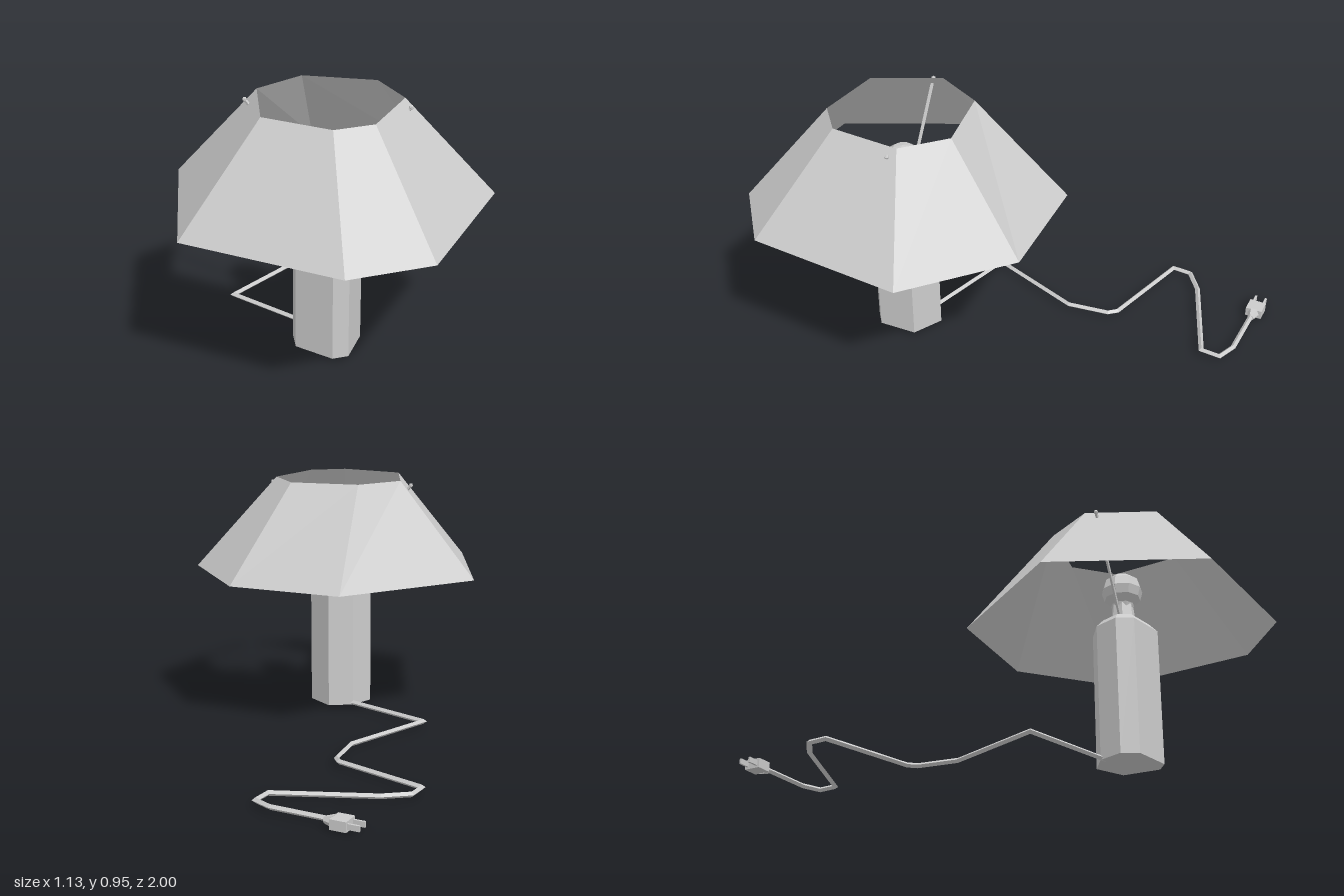
import * as THREE from 'three';

const material = new THREE.MeshStandardMaterial({ color: 0xcccccc, flatShading: true });
const thinMaterial = new THREE.MeshStandardMaterial({ color: 0xcccccc, flatShading: true, side: THREE.DoubleSide });
const V = (x, y, z) => new THREE.Vector3(x, y, z);

// Skin a list of equal-sized vertex rings, optionally capping both ends
function loft(rings, capped) {
  const n = rings[0].length, index = [];
  for (let i = 0; i < rings.length - 1; i++) {
    for (let j = 0; j < n; j++) {
      const a = i * n + j, b = i * n + (j + 1) % n;
      index.push(a, b, b + n, a, b + n, a + n);
    }
  }
  const last = (rings.length - 1) * n;
  for (let j = 1; capped && j < n - 1; j++) {
    index.push(0, j + 1, j, last, last + j, last + j + 1);
  }
  const geometry = new THREE.BufferGeometry().setFromPoints(rings.flat());
  geometry.setIndex(index);
  geometry.computeVertexNormals();
  return geometry;
}

// Horizontal ring from [x, z] pairs, scaled about the lamp axis
const CX = -0.02, CZ = 0.41;
const ring = (pts, y, s = 1) => pts.map(([x, z]) => V(CX + (x - CX) * s, y, CZ + (z - CZ) * s));

// Mitred square cable along a flat polyline
function cable(points, r) {
  const up = V(0, 1, 0);
  return loft(points.map((p, i) => {
    const before = p.clone().sub(points[Math.max(i - 1, 0)]).normalize();
    const after = points[Math.min(i + 1, points.length - 1)].clone().sub(p).normalize();
    const t = before.clone().add(after).normalize();
    const miter = 1 / Math.max(0.5, t.dot(i ? before : after));
    const side = t.clone().cross(up).multiplyScalar(r * miter);
    const down = up.clone().multiplyScalar(-r);
    return [0, 1, 2, 3].map(k => p.clone()
      .addScaledVector(side, Math.cos(k * Math.PI / 2))
      .addScaledVector(down, Math.sin(k * Math.PI / 2)));
  }), true);
}

// Straight rod between two points
function rod(a, b, r, sides) {
  const d = b.clone().sub(a);
  const geometry = new THREE.CylinderGeometry(r, r, d.length(), sides);
  geometry.applyQuaternion(new THREE.Quaternion().setFromUnitVectors(V(0, 1, 0), d.normalize()));
  const mid = a.clone().add(b).multiplyScalar(0.5);
  return geometry.translate(mid.x, mid.y, mid.z);
}

export function createModel() {
  const lamp = new THREE.Group();
  lamp.name = 'tableLamp';
  const add = (name, geometry, parent = lamp, mat = material) => {
    const mesh = new THREE.Mesh(geometry, mat);
    mesh.name = name;
    parent.add(mesh);
    return mesh;
  };

  // Irregular seven-sided shade, open at both ends
  const shadeBottom = [[-0.1, 0.99], [0.205, 0.955], [0.565, 0.48], [0.447, 0.04], [0.055, -0.19], [-0.495, 0.04], [-0.57, 0.63]];
  const shadeTop = [[-0.065, 0.67], [0.08, 0.65], [0.24, 0.435], [0.195, 0.245], [-0.055, 0.14], [-0.235, 0.24], [-0.27, 0.51]];
  const plain = (pts, y) => pts.map(([x, z]) => V(x, y, z));
  add('shade', loft([plain(shadeBottom, 0.58), plain(shadeTop, 0.945)], false), lamp, thinMaterial);

  // Faceted column with a bevelled top
  const column = [[-0.14, 0.43], [-0.03, 0.54], [0.03, 0.535], [0.105, 0.41], [0.045, 0.3], [-0.055, 0.3], [-0.135, 0.36]];
  add('base', loft([ring(column, 0.015), ring(column, 0.555), ring(column, 0.585, 0.75)], true));

  // Socket and bulb
  const socket = new THREE.CylinderGeometry(0.042, 0.05, 0.08, 7);
  add('socket', socket).position.set(CX, 0.62, CZ);
  const profile = [[0, 0], [0.035, 0], [0.045, 0.03], [0.07, 0.055], [0.08, 0.09], [0.068, 0.13], [0.035, 0.155], [0, 0.163]];
  const bulb = new THREE.LatheGeometry(profile.map(p => new THREE.Vector2(...p)), 9);
  add('bulb', bulb).position.set(CX, 0.635, CZ);

  // Two wires carrying the shade, each ending in a small knob
  for (const [side, tip] of [['left', V(0.252, 0.922, 0.47)], ['right', V(-0.283, 0.922, 0.275)]]) {
    const root = V(CX, 0.6, CZ).lerp(V(tip.x, 0.6, tip.z), 0.14);
    add(side + 'ShadeWire', rod(root, tip, 0.006, 4));
    add(side + 'ShadeKnob', new THREE.IcosahedronGeometry(0.009, 0)).position.copy(tip);
  }

  // Power cord winding away behind the lamp
  const path = [[-0.04, 0.32], [-0.3, 0.02], [0.015, -0.215], [0.085, -0.36], [0.08, -0.4], [-0.17, -0.685], [-0.125, -0.745],
    [-0.02, -0.75], [0.35, -0.675], [0.395, -0.735], [0.35, -0.8], [0.16, -0.93]];
  add('cord', cable(path.map(([x, z]) => V(x, 0.023, z)), 0.01));

  // Plug with two prongs
  const plug = new THREE.Group();
  plug.name = 'plug';
  plug.position.set(0.14, 0.02, -0.945);
  plug.rotation.y = -0.58;
  lamp.add(plug);
  add('plugBody', new THREE.BoxGeometry(0.06, 0.036, 0.064), plug).position.x = -0.01;
  const grip = new THREE.CylinderGeometry(0.024, 0.012, 0.035, 6).rotateZ(Math.PI / 2);
  add('plugGrip', grip, plug).position.x = 0.035;
  for (const s of [-1, 1]) {
    add('prong', new THREE.BoxGeometry(0.045, 0.02, 0.008), plug).position.set(-0.06, 0, s * 0.02);
  }

  return lamp;
}
